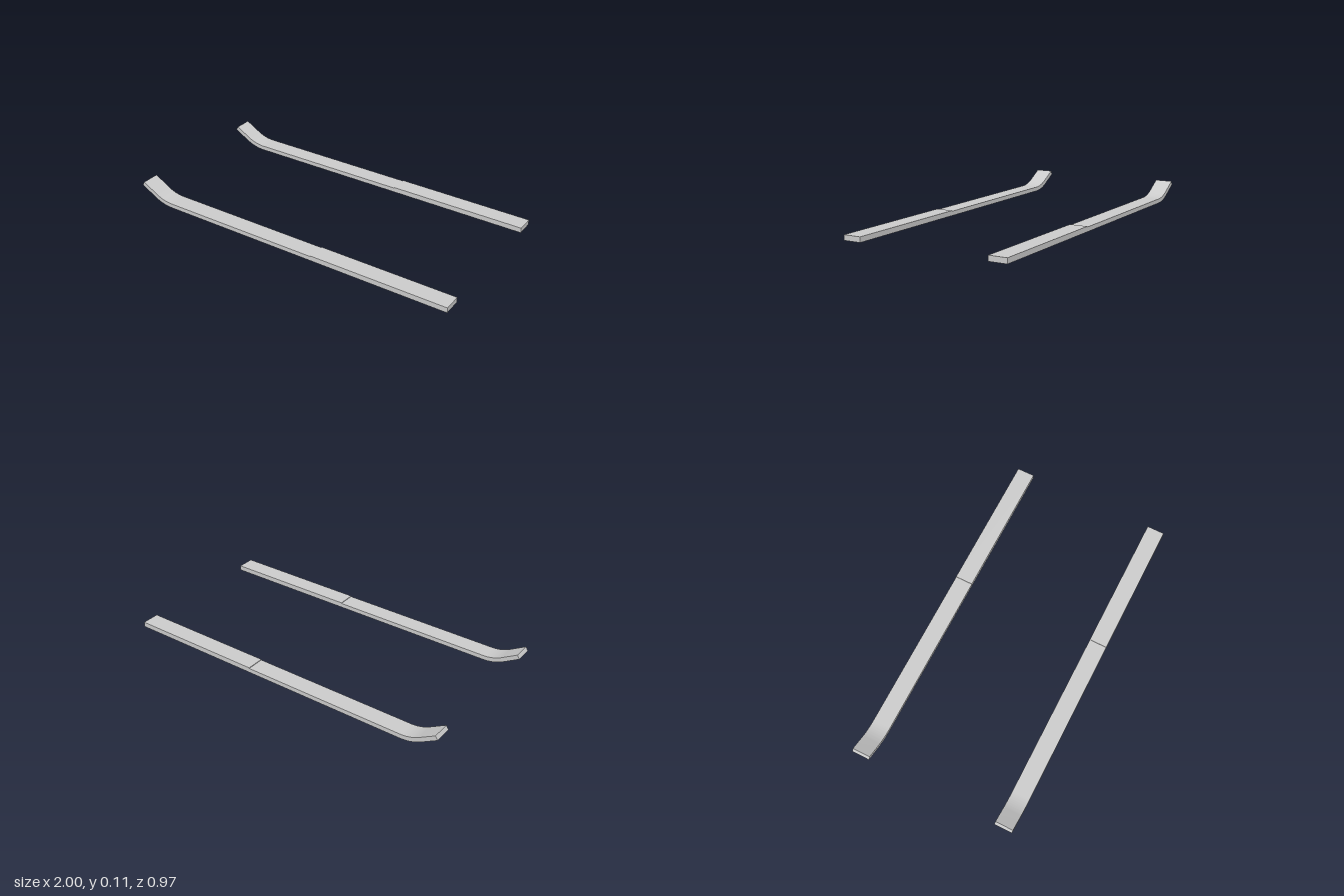
import * as THREE from 'three';
import { toCreasedNormals } from 'three/addons/utils/BufferGeometryUtils.js';

const WIDTH = 0.104;      // across one ski
const THICK = 0.026;      // front section
const TAIL_THICK = 0.03;  // slightly thicker rear section
const STEP_X = 0.19;      // where the rear section begins
const BEND_X = -0.785;    // where the tip starts to curl up
const BEND_R = 0.25;
const BEND = Math.PI / 6;

// Side profile: flat sole, circular bend, straight raised tip
function skiProfile() {
  const down = -Math.PI / 2;
  const tipY = BEND_R * (1 - Math.cos(BEND)) + (1 + BEND_X - BEND_R * Math.sin(BEND)) * Math.tan(BEND);
  const shape = new THREE.Shape();
  shape.moveTo(1, 0);
  shape.lineTo(BEND_X, 0);
  shape.absarc(BEND_X, BEND_R, BEND_R, down, down - BEND, true);
  shape.lineTo(-1, tipY);
  shape.lineTo(-1 + THICK * Math.sin(BEND), tipY + THICK * Math.cos(BEND));
  shape.absarc(BEND_X, BEND_R, BEND_R - THICK, down - BEND, down, false);
  shape.lineTo(STEP_X, THICK);
  shape.lineTo(STEP_X, TAIL_THICK);
  shape.lineTo(1, TAIL_THICK);
  shape.closePath();
  return shape;
}

export function createModel() {
  const model = new THREE.Group();
  model.name = 'skis';
  const material = new THREE.MeshStandardMaterial({ color: 0xcccccc });

  const extruded = new THREE.ExtrudeGeometry(skiProfile(), {
    depth: WIDTH, bevelEnabled: false, curveSegments: 10,
  });
  extruded.translate(0, 0, -WIDTH / 2);
  const geometry = toCreasedNormals(extruded, Math.PI / 6);

  // A matching pair, one at the front and one at the back
  for (const [name, z] of [['frontSki', 0.435], ['backSki', -0.435]]) {
    const ski = new THREE.Mesh(geometry, material);
    ski.name = name;
    ski.position.z = z;
    model.add(ski);
  }
  return model;
}
